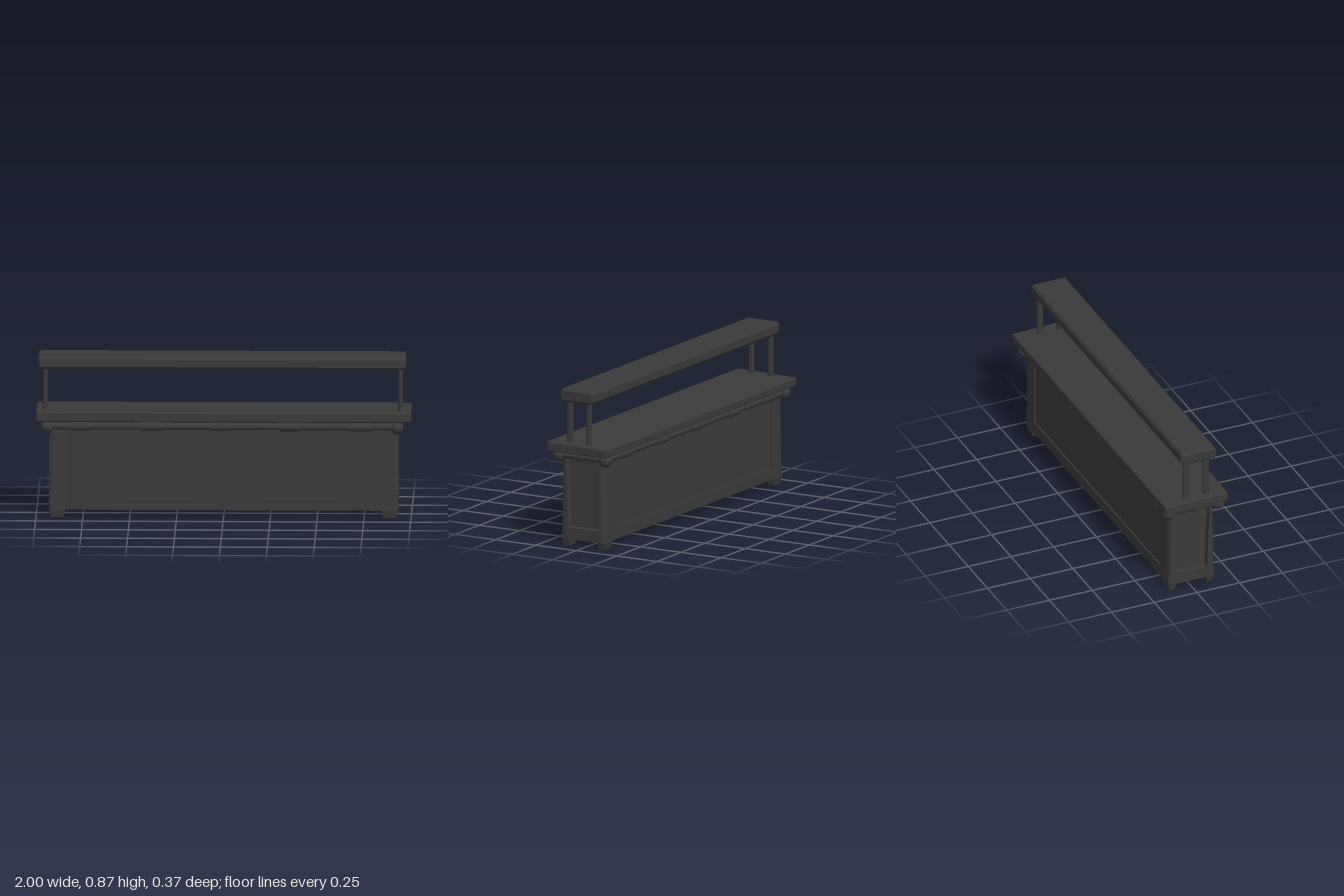
import * as THREE from 'three';
import { toCreasedNormals } from 'three/addons/utils/BufferGeometryUtils.js';

const mat = new THREE.MeshStandardMaterial({ color: 0x3a3a3a });

export function createModel() {
  const root = new THREE.Group();
  const add = (name, geo, x = 0, y = 0, z = 0) => {
    const m = new THREE.Mesh(geo, mat);
    m.name = name;
    m.position.set(x, y, z);
    root.add(m);
    return m;
  };

  // bar along x from a [z, y] profile, with chamfered ends
  const bar = (profile, length, chamfer) => {
    const geo = new THREE.ExtrudeGeometry(new THREE.Shape(profile.map(p => new THREE.Vector2(...p))), {
      depth: length - 2 * chamfer, bevelEnabled: true, bevelSize: chamfer,
      bevelOffset: -chamfer, bevelThickness: chamfer, bevelSegments: 1,
    });
    geo.translate(0, 0, -(length - 2 * chamfer) / 2);
    return geo.rotateY(-Math.PI / 2);
  };

  // solid between a lower and an upper ring of [x, z] points
  const loft = (lower, upper, y0, y1, flip) => {
    const pos = [], n = lower.length;
    const lo = lower.map(p => [p[0], y0, p[1]]), hi = upper.map(p => [p[0], y1, p[1]]);
    const tri = (a, b, c) => pos.push(...a, ...(flip ? c : b), ...(flip ? b : c));
    for (let i = 0; i < n; i++) {
      const j = (i + 1) % n;
      tri(lo[i], hi[j], lo[j]);
      tri(lo[i], hi[i], hi[j]);
      if (i > 0 && i < n - 1) {
        tri(lo[0], lo[i], lo[i + 1]);
        tri(hi[0], hi[i + 1], hi[i]);
      }
    }
    const geo = new THREE.BufferGeometry();
    geo.setAttribute('position', new THREE.Float32BufferAttribute(pos, 3));
    return toCreasedNormals(geo, 0.7);
  };

  // cabinet body: recessed panels and a base frame around them
  add('panelCore', new THREE.BoxGeometry(1.79, 0.46, 0.25), 0, 0.29, 0);
  add('baseFrame', new THREE.BoxGeometry(1.84, 0.063, 0.266), 0, 0.0715, 0);

  // corner section whose rounding and inner edge change with height
  const corner = (sx, sz, rx, rz, inner) => {
    const pts = [[0.82, inner], [0.82, 0.135]];
    for (let i = 0; i <= 6; i++) {
      const a = i / 6 * Math.PI / 2;
      pts.push([0.932 - rx + rx * Math.sin(a), 0.135 - rz + rz * Math.cos(a)]);
    }
    pts.push([0.932, inner]);
    return pts.map(([x, z]) => [x * sx, z * sz]);
  };
  for (const sx of [-1, 1]) {
    // end base rail
    add('endBase', new THREE.BoxGeometry(0.06, 0.063, 0.2), sx * 0.902, 0.0715, 0);
    for (const sz of [-1, 1]) {
      const topInner = sz > 0 ? 0.107 : 0.088;
      add('cornerPost', loft(corner(sx, sz, 0.04, 0.01, 0.088), corner(sx, sz, 0.05, 0.025, topInner),
        0.04, 0.525, sx * sz > 0));

      // tapered foot
      const foot = new THREE.BoxGeometry(0.09, 0.045, 0.045);
      const p = foot.attributes.position;
      for (let i = 0; i < p.count; i++) {
        if (p.getY(i) < 0) p.setXYZ(i, p.getX(i) * 0.76, p.getY(i), p.getZ(i) * 0.72);
      }
      foot.computeVertexNormals();
      add('foot', foot, sx * 0.886, 0.0225, sz * 0.11);
    }
  }

  // counter, with its top falling slightly to the back
  add('counter', bar([[-0.183, 0.53], [-0.176, 0.524], [0.176, 0.524], [0.183, 0.53],
    [0.183, 0.572], [0.177, 0.578], [-0.177, 0.569], [-0.183, 0.563]], 2, 0.005));

  // upper shelf
  add('upperShelf', bar([[-0.084, 0.812], [-0.074, 0.798], [0.109, 0.798], [0.12, 0.812],
    [0.12, 0.852], [0.109, 0.867], [-0.074, 0.867], [-0.084, 0.852]], 1.96, 0.01), -0.009);

  // shelf posts
  for (const x of [-0.953, 0.942]) {
    for (const z of [0.072, -0.045]) {
      const post = add('shelfPost', new THREE.CylinderGeometry(0.018, 0.018, 0.25, 12), x, 0.685, z);
      post.scale.x = 0.7;
    }
  }

  // rail around the cabinet with collars and corner balls
  const cx = -0.007, cz = 0.006, ry = 0.497, hx = 0.933, hz = 0.143;
  const pipe = (name, r, length, axis, x, z) => {
    const geo = new THREE.CylinderGeometry(r, r, length, 12);
    if (axis === 'x') geo.rotateZ(Math.PI / 2); else geo.rotateX(Math.PI / 2);
    add(name, geo, x, ry, z);
  };
  for (const s of [-1, 1]) {
    pipe('longRail', 0.019, 2 * hx, 'x', cx, cz + s * hz);
    for (let i = -2; i <= 2; i++) pipe('railCollar', 0.025, 0.11, 'x', -0.015 + i * 0.373, cz + s * hz);
    pipe('endRail', 0.019, 2 * hz, 'z', cx + s * hx, cz);
    pipe('railCollar', 0.025, 0.04, 'z', cx + s * hx, 0.013);
    for (const t of [-1, 1]) {
      add('cornerBall', new THREE.SphereGeometry(0.036, 14, 10), cx + s * hx, 0.493, cz + t * hz);
    }
  }
  return root;
}
